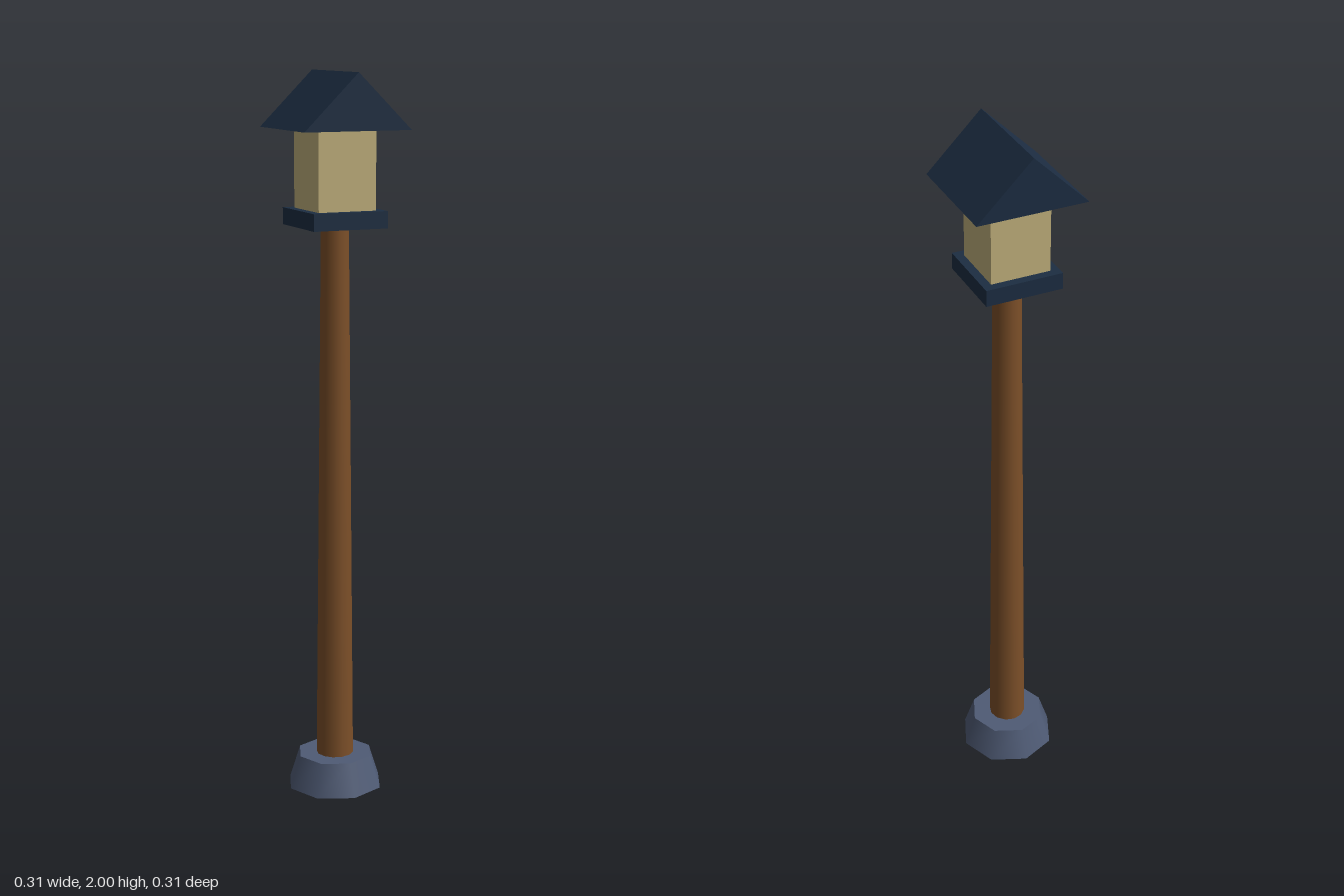
import * as THREE from 'three';

export function createModel() {
  const group = new THREE.Group();

  const slate = new THREE.MeshStandardMaterial({ color: 0x4f5b75 });
  const wood = new THREE.MeshStandardMaterial({ color: 0x7d5029 });
  const navy = new THREE.MeshStandardMaterial({ color: 0x1c2d42 });
  const glow = new THREE.MeshStandardMaterial({ color: 0xc0b07c });

  const add = (name, geometry, material, y) => {
    const mesh = new THREE.Mesh(geometry, material);
    mesh.name = name;
    mesh.position.y = y;
    group.add(mesh);
  };

  // Octagonal footing and tapered post
  add('footing', new THREE.CylinderGeometry(0.107, 0.137, 0.092, 8), slate, 0.046);
  add('post', new THREE.CylinderGeometry(0.038, 0.052, 1.5, 12), wood, 0.84);

  // Lantern tray and glowing box
  add('tray', new THREE.BoxGeometry(0.214, 0.046, 0.214), navy, 1.613);
  add('lanternBox', new THREE.BoxGeometry(0.166, 0.216, 0.166), glow, 1.743);

  // Gable roof, ridge running front to back
  const gable = new THREE.Shape([
    new THREE.Vector2(-0.153, 0),
    new THREE.Vector2(0.153, 0),
    new THREE.Vector2(0, 0.15),
  ]);
  const roof = new THREE.ExtrudeGeometry(gable, { depth: 0.306, bevelEnabled: false });
  roof.translate(0, 0, -0.153);
  add('roof', roof, navy, 1.85);

  return group;
}
